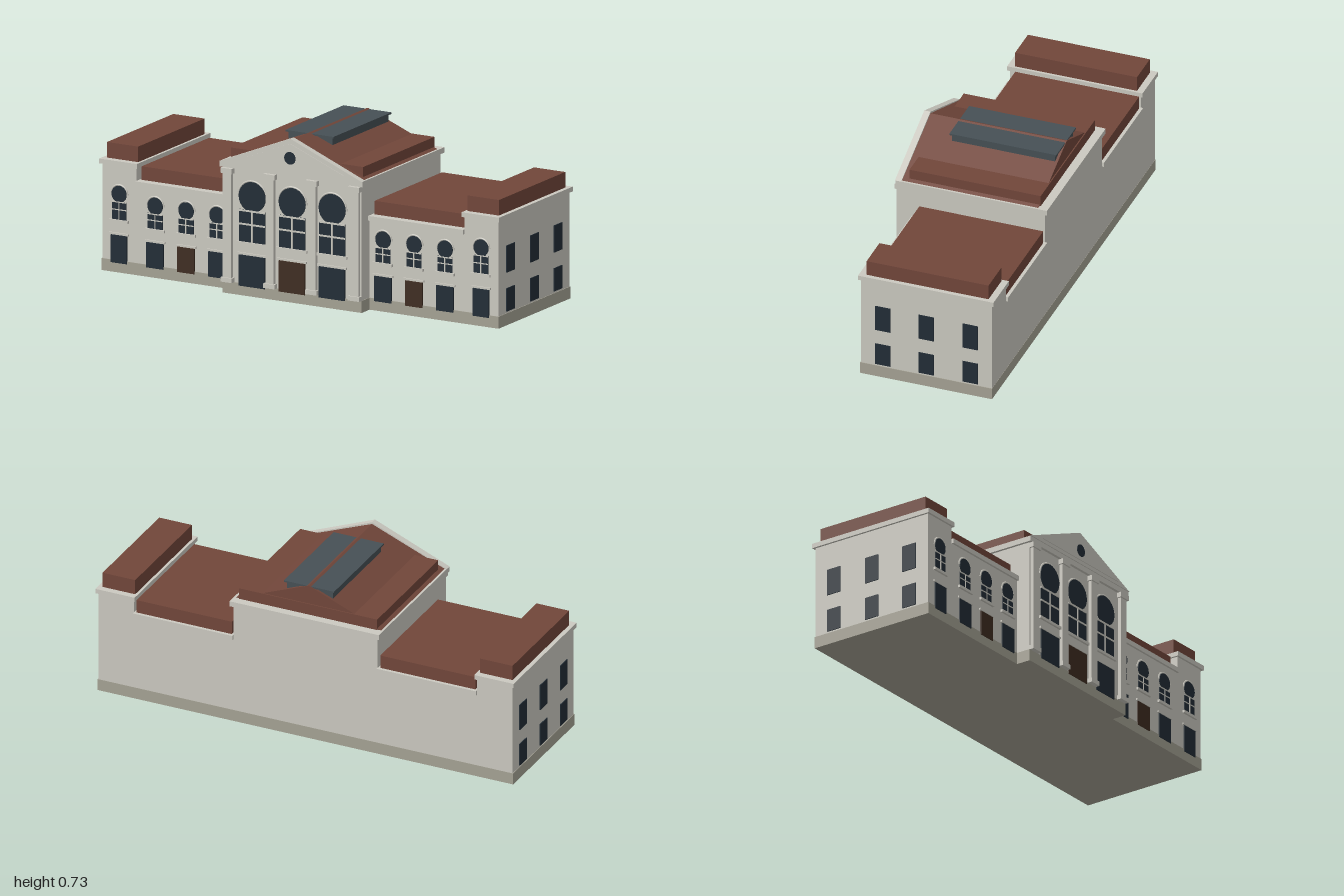
import * as THREE from 'three';

const mat = (name, color) => Object.assign(new THREE.MeshStandardMaterial({ color }), { name });

export function createModel() {
  const stone = mat('pale stone', 0xcbc9c0);
  const plinth = mat('plinth stone', 0xa5a294);
  const tile = mat('red brown roof', 0x71463a);
  const glass = mat('dark glass', 0x222d36);
  const wood = mat('brown door', 0x3f2d21);
  const slate = mat('skylight glass', 0x465055);

  const model = new THREE.Group();
  model.name = 'building';

  // Box given by its limits on each axis
  const box = (name, m, x0, x1, y0, y1, z0, z1, parent = model) => {
    const mesh = new THREE.Mesh(new THREE.BoxGeometry(x1 - x0, y1 - y0, z1 - z0), m);
    mesh.position.set((x0 + x1) / 2, (y0 + y1) / 2, (z0 + z1) / 2);
    mesh.name = name;
    parent.add(mesh);
    return mesh;
  };
  // Box centred on x, standing on y0
  const slab = (name, m, x, w, y0, y1, z0, z1, parent) =>
    box(name, m, x - w / 2, x + w / 2, y0, y1, z0, z1, parent);
  // Same box on both sides of x = 0
  const pair = (name, m, x0, x1, ...rest) => {
    box(name + 'Left', m, x0, x1, ...rest);
    box(name + 'Right', m, -x1, -x0, ...rest);
  };
  // Gable prism from a triangle, extruded along z
  const gable = (name, m, half, y0, y1, z0, z1) => {
    const s = new THREE.Shape([
      new THREE.Vector2(-half, y0), new THREE.Vector2(half, y0), new THREE.Vector2(0, y1)]);
    const mesh = new THREE.Mesh(new THREE.ExtrudeGeometry(s, { depth: z1 - z0, bevelEnabled: false }), m);
    mesh.position.z = z0;
    mesh.name = name;
    model.add(mesh);
  };
  // Thin round pane facing the front
  const disc = (name, m, x, y, z, r, parent) => {
    const mesh = new THREE.Mesh(new THREE.CylinderGeometry(r, r, 0.005, 24), m);
    mesh.rotation.x = Math.PI / 2;
    mesh.position.set(x, y, z);
    mesh.name = name;
    parent.add(mesh);
  };

  // Round-headed window: disc over a rectangle, with bars, surround and sill
  const archWindow = (x, cy, r, y0, z) => {
    const g = new THREE.Group();
    g.name = 'archedWindow';
    const top = cy - r * 0.88, mid = y0 + (top - y0) * 0.55, bar = r * 0.12, w = r * 1.95;
    disc('roundPane', glass, x, cy, z + 0.0015, r, g);
    slab('lowerPane', glass, x, w, y0, top, z - 0.002, z + 0.003, g);
    slab('transom', stone, x, w, top - bar, top, z, z + 0.006, g);
    slab('crossBar', stone, x, w, mid - bar / 2, mid + bar / 2, z, z + 0.005, g);
    slab('mullion', stone, x, bar, y0, top, z, z + 0.0055, g);
    const ring = new THREE.Mesh(new THREE.TorusGeometry(r + 0.004, 0.004, 6, 24, Math.PI), stone);
    ring.position.set(x, cy, z);
    ring.name = 'archSurround';
    g.add(ring);
    slab('sill', stone, x, w + 0.022, y0 - 0.012, y0, z - 0.002, z + 0.01, g);
    model.add(g);
  };
  // Ground-floor opening with a lintel
  const opening = (m, x, w, y1, z) => {
    slab(m === wood ? 'door' : 'groundWindow', m, x, w, 0.042, y1, z, z + 0.006);
    slab('lintel', stone, x, w + 0.015, y1 + 0.002, y1 + 0.011, z - 0.004, z + 0.007);
  };

  // Plinths and walls
  const back = -0.34, wingZ = 0.263, hallZ = 0.33;
  box('hallPlinth', plinth, -0.348, 0.348, 0, 0.053, back - 0.001, hallZ + 0.003);
  pair('wingPlinth', plinth, 0.348, 0.993, 0, 0.053, back - 0.001, wingZ + 0.003);
  box('hallWalls', stone, -0.345, 0.345, 0.053, 0.565, back, hallZ);
  pair('wingWalls', stone, 0.345, 0.82, 0.053, 0.4, back, wingZ);
  pair('endPavilionWalls', stone, 0.82, 0.99, 0.053, 0.477, back, wingZ);

  // Cornices
  box('hallCornice', stone, -0.357, 0.357, 0.562, 0.586, -0.353, 0.343);
  pair('wingCornice', stone, 0.345, 0.82, 0.397, 0.418, -0.35, 0.273);
  pair('endCornice', stone, 0.812, 1, 0.475, 0.496, -0.35, 0.273);

  // Roofs
  pair('wingRoof', tile, 0.355, 0.81, 0.418, 0.478, -0.335, 0.235);
  pair('endRoof', tile, 0.824, 0.98, 0.496, 0.565, -0.32, 0.241);
  box('hallLowerRoof', tile, -0.33, 0.33, 0.586, 0.637, -0.314, 0.29);
  gable('hallGableRoof', tile, 0.347, 0.586, 0.724, -0.309, 0.319);

  // Skylight along the ridge
  box('skylightSides', slate, -0.11, 0.11, 0.68, 0.713, -0.297, 0.177);
  box('skylightTop', slate, -0.12, 0.12, 0.713, 0.72, -0.306, 0.186);

  // Pediment with its round window
  gable('pediment', stone, 0.357, 0.586, 0.732, 0.318, 0.347);
  gable('tympanum', stone, 0.27, 0.602, 0.71, 0.34, 0.35);
  disc('pedimentWindow', glass, 0, 0.646, 0.35, 0.028, model);

  // Hall pilasters
  for (const x of [-0.318, -0.105, 0.105, 0.318]) {
    slab('pilasterShaft', stone, x, 0.042, 0.073, 0.538, hallZ - 0.005, 0.346);
    slab('pilasterBase', stone, x, 0.056, 0.053, 0.073, hallZ - 0.005, 0.353);
    slab('pilasterCapital', stone, x, 0.056, 0.537, 0.56, hallZ - 0.005, 0.353);
  }

  // Hall windows and main door
  for (const x of [-0.2, 0, 0.2]) {
    archWindow(x, 0.442, 0.067, 0.24, hallZ);
    opening(x === 0 ? wood : glass, x, 0.13, 0.18, hallZ);
  }

  for (const s of [-1, 1]) {
    // Wing windows and side doors
    for (const x of [0.415, 0.57, 0.725]) {
      archWindow(s * x, 0.318, 0.038, 0.217, wingZ);
      opening(x === 0.57 ? wood : glass, s * x, 0.085, 0.154, wingZ);
    }
    // End pavilion front windows
    archWindow(s * 0.905, 0.348, 0.037, 0.235, wingZ);
    opening(glass, s * 0.905, 0.08, 0.165, wingZ);
    // End pavilion side windows
    for (const z of [0.162, -0.038, -0.24]) {
      for (const [y0, y1] of [[0.061, 0.164], [0.234, 0.354]]) {
        slab('sideWindow', glass, s * 0.99, 0.008, y0, y1, z - 0.035, z + 0.035);
      }
    }
  }
  return model;
}
